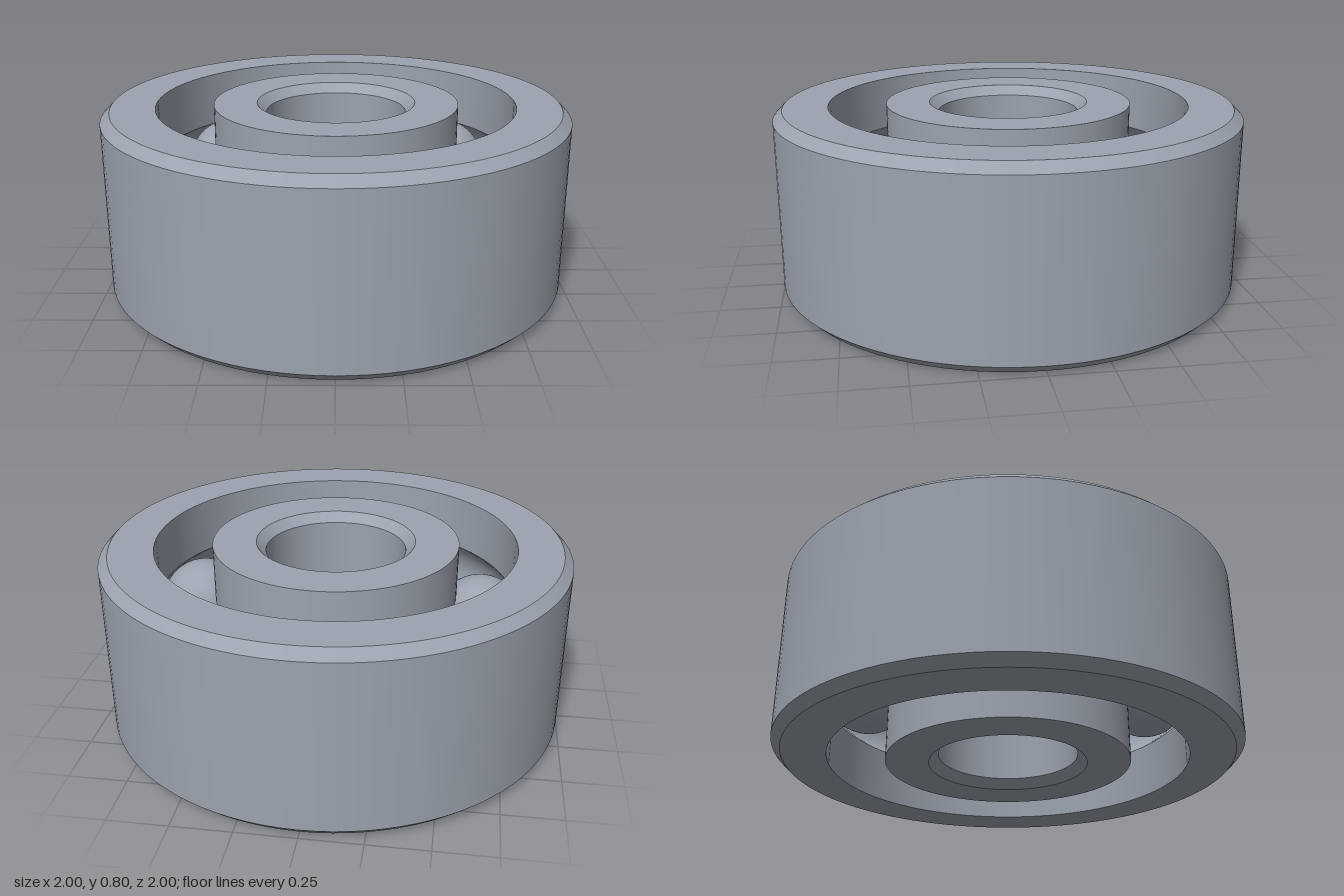
import * as THREE from 'three';
import { mergeGeometries } from 'three/addons/utils/BufferGeometryUtils.js';

const HEIGHT = 0.8, MID = HEIGHT / 2, CHAMFER = 0.04;
const PITCH = 0.65, BALL = 0.195, GROOVE = 0.2, BALLS = 7;

// Each run of profile points is smooth; edges between runs stay sharp.
function turned(runs) {
  return mergeGeometries(runs.map(run =>
    new THREE.LatheGeometry(run.map(([r, y]) => new THREE.Vector2(r, y)), 96)));
}

// Straight profile edges through a list of corners, one run per edge.
function edges(...corners) {
  return corners.slice(1).map((c, i) => [corners[i], c]);
}

// Ball groove cut into a wall of the given radius, as an arc about the ball centre.
function groove(wallRadius) {
  const half = Math.acos(Math.abs(wallRadius - PITCH) / GROOVE);
  const middle = wallRadius > PITCH ? 0 : Math.PI;
  return Array.from({ length: 17 }, (_, i) => {
    const a = middle + half * (1 - i / 8);
    return [PITCH + GROOVE * Math.cos(a), MID + GROOVE * Math.sin(a)];
  });
}

export function createModel() {
  const model = new THREE.Group();
  model.name = 'ballBearing';
  const steel = new THREE.MeshStandardMaterial({ color: 0x9ca3af });
  steel.name = 'steel';
  const add = (name, geometry) => {
    const mesh = new THREE.Mesh(geometry, steel);
    mesh.name = name;
    model.add(mesh);
    return mesh;
  };

  // Outer ring: chamfered outside, grooved inside
  const outerWall = 0.77, outerGroove = groove(outerWall);
  add('outerRing', turned([
    ...edges([outerWall, 0], [1 - CHAMFER, 0], [1, CHAMFER], [1, HEIGHT - CHAMFER],
      [1 - CHAMFER, HEIGHT], [outerWall, HEIGHT], outerGroove[0]),
    outerGroove,
    ...edges(outerGroove.at(-1), [outerWall, 0]),
  ]));

  // Inner ring: grooved outside, chamfered bore
  const innerWall = 0.525, bore = 0.3, innerGroove = groove(innerWall);
  add('innerRing', turned([
    ...edges([innerWall, 0], innerGroove[0]),
    innerGroove,
    ...edges(innerGroove.at(-1), [innerWall, HEIGHT], [bore + CHAMFER, HEIGHT],
      [bore, HEIGHT - CHAMFER], [bore, CHAMFER], [bore + CHAMFER, 0], [innerWall, 0]),
  ]));

  // Balls, evenly spaced from the back
  const ballGeometry = new THREE.SphereGeometry(BALL, 48, 32);
  for (let i = 0; i < BALLS; i++) {
    const a = (i / BALLS) * Math.PI * 2;
    add(`ball${i + 1}`, ballGeometry)
      .position.set(PITCH * Math.sin(a), MID, -PITCH * Math.cos(a));
  }
  return model;
}
